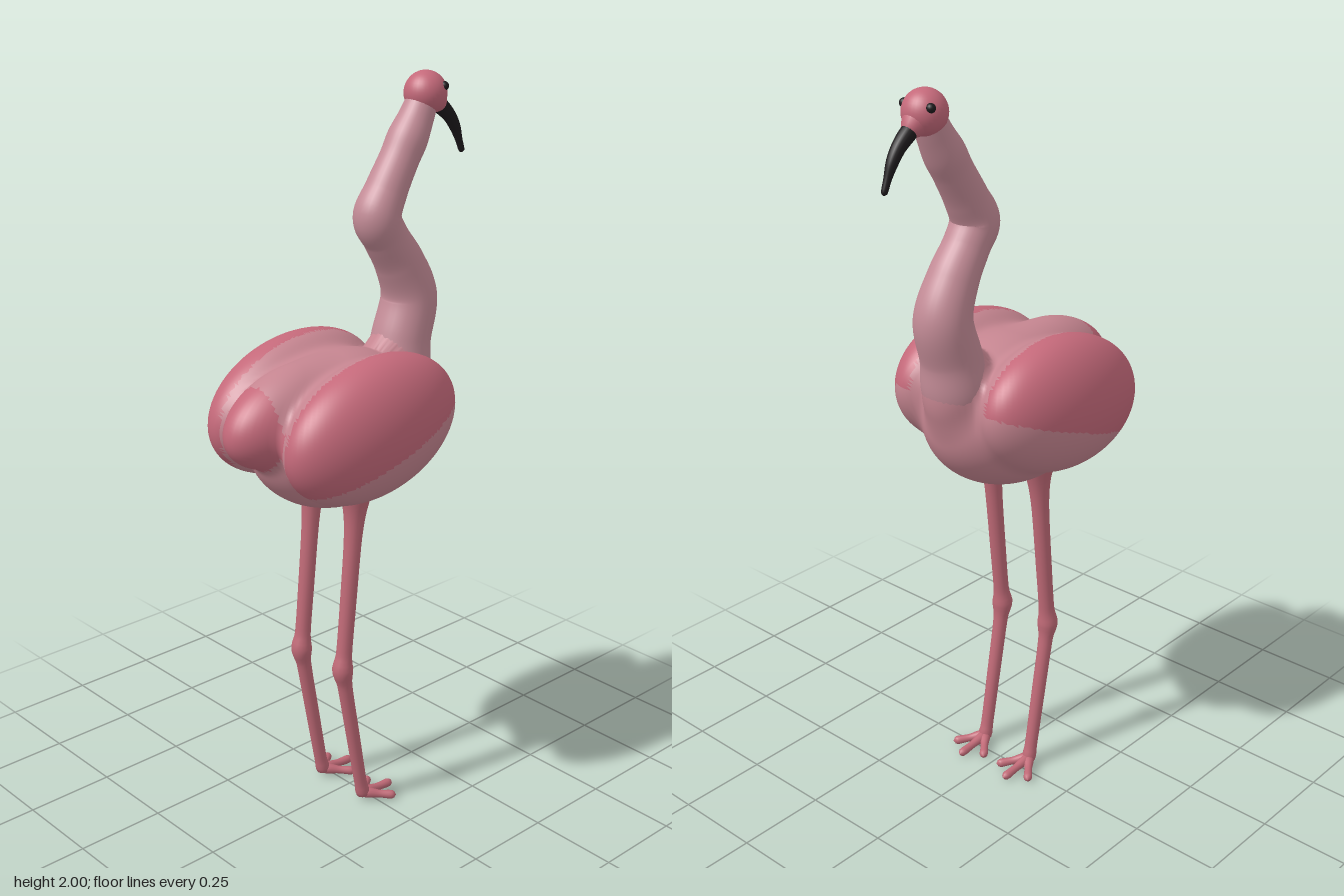
import * as THREE from 'three';
import { mergeVertices } from 'three/addons/utils/BufferGeometryUtils.js';

const paint = (color) => new THREE.MeshStandardMaterial({ color });
const PINK = paint(0xc58590), ROSE = paint(0xc4697a), PALE = paint(0xc48c97);
const LEG = paint(0xc06a77), BLACK = paint(0x1d1a1c);

// Weld a geometry and give it seamless smooth normals
function smooth(geo) {
  geo.deleteAttribute('uv');
  geo.deleteAttribute('normal');
  const welded = mergeVertices(geo, 1e-5);
  welded.computeVertexNormals();
  return welded;
}

function part(name, geo, material, parent) {
  const mesh = new THREE.Mesh(geo, material);
  mesh.name = name;
  parent.add(mesh);
  return mesh;
}

// Limb swept through [x, y, z, radius] points, with rounded closed ends
function limb(points, segments = 48, sides = 20) {
  const path = new THREE.CatmullRomCurve3(points.map((p) => new THREE.Vector3(p[0], p[1], p[2])));
  const girth = new THREE.CatmullRomCurve3(points.map((p, i) => new THREE.Vector3(p[3], i * 0.1, 0)));
  const geo = new THREE.TubeGeometry(path, segments, 1, sides);
  const pos = geo.attributes.position, v = new THREE.Vector3();
  for (let i = 0; i < pos.count; i++) {
    const u = Math.floor(i / (sides + 1)) / segments;
    const end = Math.min(u, 1 - u) === 0 ? 0.02 : 1;
    const r = Math.max(girth.getPoint(path.getUtoTmapping(u)).x, 0.001) * end;
    const c = path.getPointAt(u);
    v.fromBufferAttribute(pos, i).sub(c).multiplyScalar(r).add(c);
    pos.setXYZ(i, v.x, v.y, v.z);
  }
  return smooth(geo);
}

// Blended masses of the trunk: centre, radii, tilt in the xy plane
const MASSES = [
  { c: [-0.04, 1.11, 0], r: [0.27, 0.207, 0.2], tilt: 0.05 },
  { c: [-0.2, 1.185, 0], r: [0.212, 0.125, 0.105], tilt: 0.2 },
  { c: [-0.063, 1.152, 0.15], r: [0.278, 0.183, 0.126], tilt: 0.16 },
  { c: [-0.063, 1.152, -0.15], r: [0.278, 0.183, 0.126], tilt: 0.16 },
  { c: [0.165, 1.22, 0], r: [0.093, 0.14, 0.088], tilt: 0 },
];

function massDistance(m, p) {
  const dx = p.x - m.c[0], dy = p.y - m.c[1], dz = p.z - m.c[2];
  const cos = Math.cos(m.tilt), sin = Math.sin(m.tilt);
  const q = [dx * cos + dy * sin, dy * cos - dx * sin, dz];
  const k0 = Math.hypot(...q.map((a, i) => a / m.r[i]));
  const k1 = Math.hypot(...q.map((a, i) => a / m.r[i] ** 2));
  return k0 * (k0 - 1) / Math.max(k1, 1e-6);
}

function trunkDistance(p) {
  const k = 0.025;
  return MASSES.map((m) => massDistance(m, p)).reduce((a, b) => {
    const h = Math.max(k - Math.abs(a - b), 0) / k;
    return Math.min(a, b) - h * h * k / 4;
  });
}

// Shrink-wrap a sphere onto the blended masses, then split it by plumage
function buildTrunk(parent) {
  const geo = smooth(new THREE.SphereGeometry(1, 144, 108));
  const pos = geo.attributes.position;
  const centre = new THREE.Vector3(-0.06, 1.14, 0);
  const dir = new THREE.Vector3(), p = new THREE.Vector3();
  for (let i = 0; i < pos.count; i++) {
    dir.fromBufferAttribute(pos, i).normalize();
    let t = 0.55;
    for (let s = 0; s < 50; s++) {
      const d = trunkDistance(p.copy(centre).addScaledVector(dir, t));
      if (Math.abs(d) < 1e-5) break;
      t -= d * 0.7;
    }
    pos.setXYZ(i, p.x, p.y, p.z);
  }
  geo.computeVertexNormals();

  const patches = { body: [], leftWing: [], rightWing: [], tail: [] };
  const index = geo.index.array;
  for (let i = 0; i < index.length; i += 3) {
    const tri = [index[i], index[i + 1], index[i + 2]];
    const mean = (get) => tri.reduce((sum, n) => sum + get(n), 0) / 3;
    const x = mean((n) => pos.getX(n)), y = mean((n) => pos.getY(n)), z = mean((n) => pos.getZ(n));
    let key = 'body';
    if (x < -0.31 && Math.abs(z) < 0.11) key = 'tail';
    else if (Math.abs(z) > 0.13 && y > 1.1 + 0.35 * (x + 0.06)) key = z > 0 ? 'leftWing' : 'rightWing';
    patches[key].push(...tri);
  }
  // The bird looks along +x, the wings lie on the two z sides
  const names = { body: 'body', leftWing: 'wingNear', rightWing: 'wingFar', tail: 'tail' };
  for (const key in patches) {
    const patch = new THREE.BufferGeometry();
    patch.setAttribute('position', pos);
    patch.setAttribute('normal', geo.attributes.normal);
    patch.setIndex(patches[key]);
    part(names[key], patch, key === 'body' ? PINK : ROSE, parent);
  }
}

function buildLeg(side, parent) {
  const leg = new THREE.Group();
  leg.name = side > 0 ? 'legNear' : 'legFar';
  leg.position.z = side * 0.085;
  part('shank', limb([
    [-0.055, 0.98, 0, 0.05], [-0.06, 0.9, 0, 0.031], [-0.067, 0.82, 0, 0.024], [-0.085, 0.63, 0, 0.022],
    [-0.099, 0.49, 0, 0.022], [-0.104, 0.445, 0, 0.029], [-0.097, 0.4, 0, 0.021],
    [-0.065, 0.22, 0, 0.019], [-0.036, 0.06, 0, 0.018], [-0.028, 0.025, 0, 0.02], [-0.025, 0.008, 0, 0.008],
  ], 72, 16), LEG, leg);
  // Three spread toes
  for (const [angle, length] of [[-0.68, 0.095], [0, 0.112], [0.68, 0.095]]) {
    const at = (d, y, r) => [-0.028 + d * Math.cos(angle), y, d * Math.sin(angle), r];
    part('toe', limb([
      at(-0.008, 0.024, 0.008), at(0.01, 0.024, 0.015), at(length * 0.5, 0.018, 0.011),
      at(length * 0.88, 0.014, 0.012), at(length, 0.013, 0.005),
    ], 20, 12), LEG, leg);
  }
  parent.add(leg);
}

export function createModel() {
  const model = new THREE.Group();
  model.name = 'wadingBird';

  buildTrunk(model);

  // S-shaped neck with swollen bends
  part('neck', limb([
    [0.14, 1.14, 0, 0.07], [0.168, 1.22, 0, 0.088], [0.185, 1.31, 0, 0.08], [0.212, 1.42, 0, 0.075],
    [0.175, 1.515, 0, 0.066], [0.125, 1.59, 0, 0.06], [0.095, 1.645, 0, 0.063], [0.125, 1.71, 0, 0.056],
    [0.17, 1.785, 0, 0.052], [0.2, 1.835, 0, 0.053], [0.23, 1.885, 0, 0.046], [0.258, 1.94, 0, 0.04],
  ], 110, 32), PALE, model);

  const head = new THREE.Group();
  head.name = 'head';
  model.add(head);
  const skull = part('skull', new THREE.SphereGeometry(0.057, 32, 24), ROSE, head);
  skull.position.set(0.262, 1.943, 0);
  skull.scale.z = 0.98;
  part('face', limb([
    [0.25, 1.945, 0, 0.04], [0.285, 1.928, 0, 0.04], [0.31, 1.91, 0, 0.026], [0.322, 1.9, 0, 0.014],
  ], 20, 20), ROSE, head);

  // Down-curved beak
  part('beak', limb([
    [0.295, 1.92, 0, 0.02], [0.32, 1.902, 0, 0.021], [0.35, 1.876, 0, 0.018], [0.372, 1.845, 0, 0.015],
    [0.388, 1.81, 0, 0.01], [0.4, 1.78, 0, 0.008], [0.403, 1.773, 0, 0.004],
  ], 36, 16), BLACK, head);

  for (const side of [1, -1]) {
    const eye = part('eye', new THREE.SphereGeometry(0.012, 16, 12), BLACK, head);
    eye.position.set(0.286, 1.962, side * 0.043);
    buildLeg(side, model);
  }
  return model;
}
